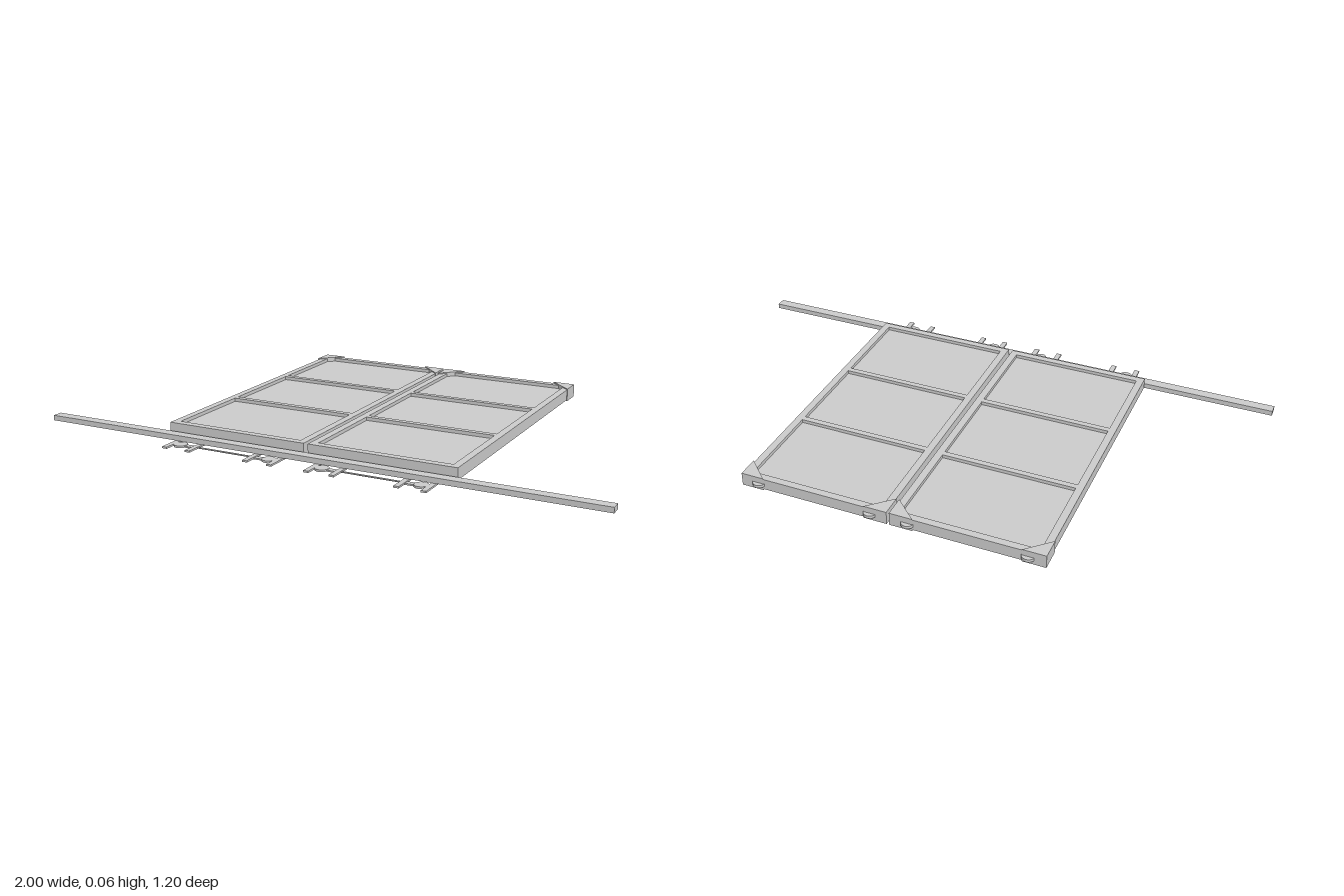
import * as THREE from 'three';

const grey = new THREE.MeshStandardMaterial({ color: 0xcccccc, side: THREE.DoubleSide, flatShading: true });

function add(parent, name, geometry, x = 0, y = 0, z = 0) {
  const mesh = new THREE.Mesh(geometry, grey);
  mesh.name = name;
  mesh.position.set(x, y, z);
  parent.add(mesh);
  return mesh;
}

// Box given by its limits on each axis
function box(parent, name, x0, x1, y0, y1, z0, z1) {
  return add(parent, name, new THREE.BoxGeometry(x1 - x0, y1 - y0, z1 - z0),
    (x0 + x1) / 2, (y0 + y1) / 2, (z0 + z1) / 2);
}

function path(points, Type = THREE.Shape) {
  return new Type(points.map(([x, z]) => new THREE.Vector2(x, z)));
}

// Lay an (x, z) outline flat between heights y0 and y1
function slab(shape, y0, y1) {
  const g = new THREE.ExtrudeGeometry(shape, { depth: y1 - y0, bevelEnabled: false });
  return g.rotateX(Math.PI / 2).translate(0, y1, 0);
}

const W = 0.515, BACK = -0.585, FRONT = 0.485, BOTTOM = 0.016, TOP = 0.055;

function rect(x0, x1, z0, z1) {
  return [[x0, z0], [x1, z0], [x1, z1], [x0, z1]];
}

// Door leaf centred on x = 0
function makeDoor() {
  const door = new THREE.Group();
  const half = W / 2, border = 0.025, bar = 0.02;
  const length = (FRONT - BACK - 2 * border - 2 * bar) / 3;

  // Frame with three openings
  const frame = path(rect(-half, half, BACK, FRONT));
  for (let i = 0; i < 3; i++) {
    const z = BACK + border + i * (length + bar);
    frame.holes.push(path(rect(-half + border, half - border, z, z + length), THREE.Path));
    box(door, 'panel', -half + border, half - border, 0.029, 0.043, z, z + length);
  }
  add(door, 'doorFrame', slab(frame, BOTTOM, TOP));

  for (const s of [-1, 1]) {
    // Triangular corner bracket wrapping the back corner
    const e = s * (half + 0.003), b = BACK - 0.002;
    const corner = path([[e, b], [e - s * 0.08, b], [e, b + 0.076]]);
    add(door, 'cornerBracket', slab(corner, 0.013, 0.059));

    // Half-sunk guide roller on the back edge
    add(door, 'guideRoller', new THREE.CylinderGeometry(0.022, 0.022, 0.01, 20),
      s * 0.2, 0.033, -0.5805);
  }
  return door;
}

// Hanging carriage: two straps, a wheel and its axle; s is its side of the door
function makeCarriage(s) {
  const carriage = new THREE.Group();
  for (const x of [-0.0445, 0.0445]) {
    box(carriage, 'hangerStrap', x - 0.009, x + 0.009, 0.004, 0.01, 0.4, 0.6);
    box(carriage, 'strapMount', x - 0.007, x + 0.007, 0.009, 0.017, 0.405, 0.43);
    add(carriage, 'strapBolt', new THREE.CylinderGeometry(0.006, 0.006, 0.004, 8), x, 0.004, 0.55);
  }
  // Plate joining the straps across the wheel
  box(carriage, 'crossPlate', -0.0445, 0.0445, 0.003, 0.008, 0.541, 0.56);
  add(carriage, 'wheel', new THREE.CylinderGeometry(0.023, 0.023, 0.007, 20), -s * 0.012 + s * 0.027, 0.0065, 0.551);
  return carriage;
}

export function createModel() {
  const model = new THREE.Group();
  model.name = 'slidingDoors';

  // Long track in front of both leaves
  box(model, 'track', -1, 1, 0.011, 0.029, 0.494, 0.53);

  for (const [name, x] of [['rightDoor', -0.2775], ['leftDoor', 0.2525]]) {
    const door = makeDoor();
    door.name = name;
    door.position.x = x;
    for (const s of [-1, 1]) {
      const carriage = makeCarriage(s);
      carriage.name = 'carriage';
      carriage.position.x = s * 0.154;
      door.add(carriage);
    }
    // Rod linking the two carriages
    const rod = add(door, 'linkRod', new THREE.CylinderGeometry(0.003, 0.003, 0.22, 8), 0, 0.0065, 0.55);
    rod.rotation.z = Math.PI / 2;
    model.add(door);
  }

  // Stand exactly on the ground
  const bounds = new THREE.Box3().setFromObject(model);
  model.position.y = -bounds.min.y;
  return model;
}
